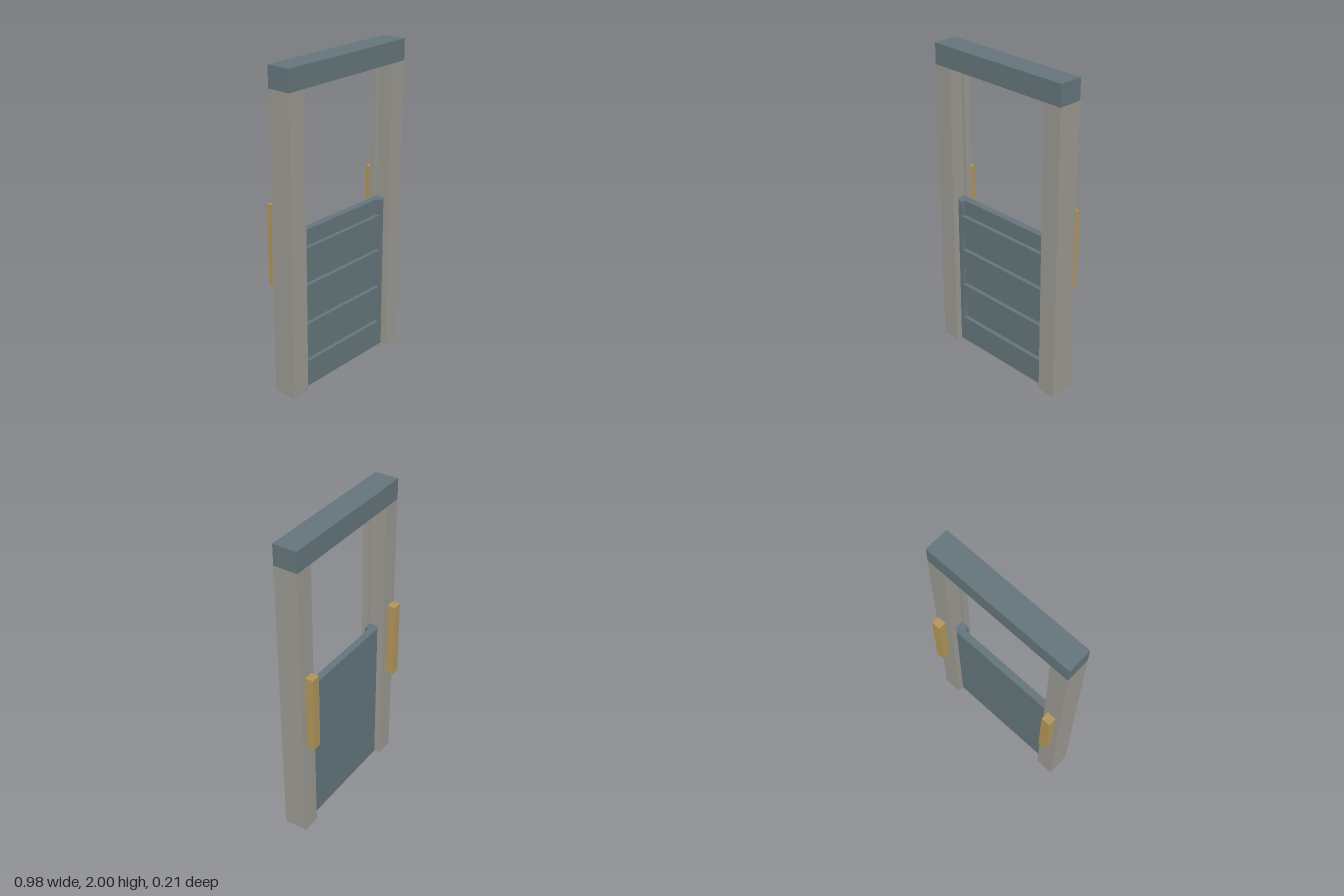
import * as THREE from 'three';

const paint = new THREE.MeshStandardMaterial({ name: 'blueGreyPaint', color: 0x64757b });
const stone = new THREE.MeshStandardMaterial({ name: 'warmGrey', color: 0x9b9891 });
const brass = new THREE.MeshStandardMaterial({ name: 'brass', color: 0xb1955a });

const BACK = -0.046, FRONT = 0.106;          // frame depth
const DOOR_BACK = -0.006, DOOR_FRONT = 0.066; // door and groove depth
const POST_TOP = 1.87, DOOR_TOP = 1.015;

// Box given by its minimum and maximum corners
function block(name, material, [x0, y0, z0], [x1, y1, z1]) {
  const mesh = new THREE.Mesh(new THREE.BoxGeometry(x1 - x0, y1 - y0, z1 - z0), material);
  mesh.position.set((x0 + x1) / 2, (y0 + y1) / 2, (z0 + z1) / 2);
  mesh.name = name;
  return mesh;
}

// Outline from a list of points
const outline = (points) => points.map(([x, y]) => new THREE.Vector2(x, y));

// Upright post with a groove along its inner face
function post(side) {
  const inner = 0.37, floor = 0.397, outer = 0.49;
  const plan = [
    [inner, BACK], [outer, BACK], [outer, FRONT], [inner, FRONT],
    [inner, DOOR_FRONT], [floor, DOOR_FRONT], [floor, DOOR_BACK], [inner, DOOR_BACK],
  ].map(([x, z]) => [side * x, -z]);
  const geometry = new THREE.ExtrudeGeometry(new THREE.Shape(outline(plan)), { depth: POST_TOP, bevelEnabled: false });
  geometry.rotateX(-Math.PI / 2);
  const mesh = new THREE.Mesh(geometry, stone);
  mesh.name = side > 0 ? 'leftPost' : 'rightPost';
  return mesh;
}

// Sliding door: solid back slab plus a front layer with recesses
function door() {
  const group = new THREE.Group();
  group.name = 'slidingDoor';
  const w = 0.395, r = 0.34, split = DOOR_FRONT - 0.027;
  group.add(block('doorSlab', paint, [-w, 0, DOOR_BACK], [w, DOOR_TOP, split]));
  // The top recess is open upwards
  const face = new THREE.Shape(outline([
    [-w, 0], [w, 0], [w, DOOR_TOP], [r, DOOR_TOP], [r, 0.915], [-r, 0.915], [-r, DOOR_TOP], [-w, DOOR_TOP],
  ]));
  for (const [y0, y1] of [[0.17, 0.29], [0.422, 0.545], [0.677, 0.80]]) {
    face.holes.push(new THREE.Path(outline([[-r, y0], [-r, y1], [r, y1], [r, y0]])));
  }
  const front = new THREE.Mesh(new THREE.ExtrudeGeometry(face, { depth: DOOR_FRONT - split, bevelEnabled: false }), paint);
  front.position.z = split;
  front.name = 'recessedFace';
  group.add(front);
  return group;
}

export function createModel() {
  const model = new THREE.Group();
  model.name = 'slidingDoorway';
  model.add(block('header', paint, [-0.49, POST_TOP, BACK], [0.49, 2, FRONT]), door());
  for (const side of [-1, 1]) {
    model.add(post(side));
    // Bar standing just behind the post
    const x = side * 0.4325, half = 0.0295;
    model.add(block(side > 0 ? 'leftBar' : 'rightBar', brass, [x - half, 0.68, -0.107], [x + half, 1.187, -0.056]));
  }
  return model;
}
